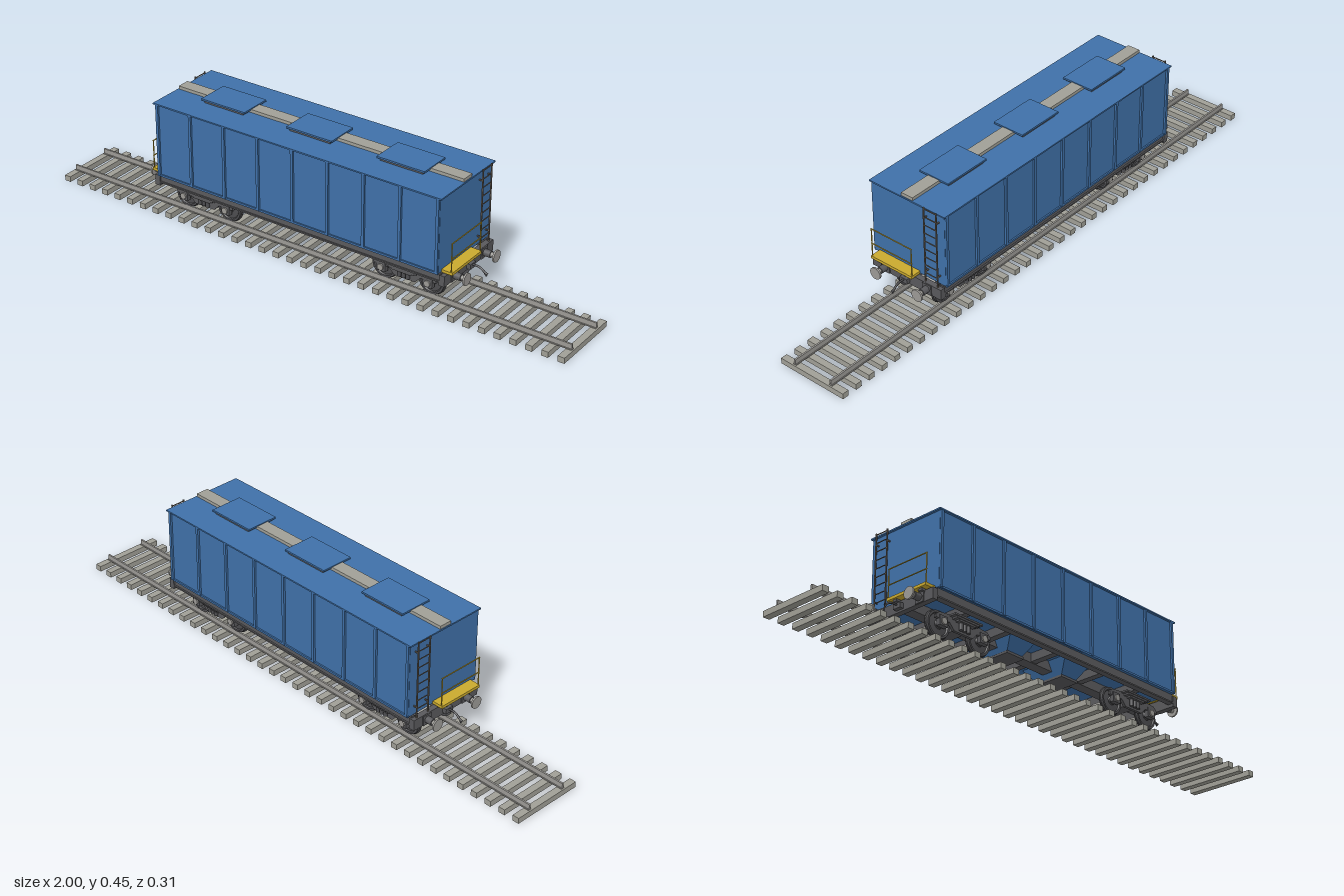
import * as THREE from 'three';

const mat = (name, color) => {
  const m = new THREE.MeshStandardMaterial({ color });
  m.name = name;
  return m;
};

export function createModel() {
  const blue = mat('body blue', 0x3f70a8);
  const dark = mat('frame grey', 0x59595c);
  const steel = mat('bright steel', 0x9c9a96);
  const concrete = mat('sleeper grey', 0xa09f96);
  const yellow = mat('safety yellow', 0xc9a92e);
  const iron = mat('ladder iron', 0x6b6258);
  const wheelGrey = mat('wheel grey', 0x4e4e51);

  const root = new THREE.Group();
  root.name = 'hopperWagonOnTrack';
  const group = (name, parent = root) => {
    const g = new THREE.Group();
    g.name = name;
    parent.add(g);
    return g;
  };
  const add = (parent, name, geo, m, x = 0, y = 0, z = 0) => {
    const mesh = new THREE.Mesh(geo, m);
    mesh.name = name;
    mesh.position.set(x, y, z);
    parent.add(mesh);
    return mesh;
  };
  // Box given by its limits on each axis
  const box = (parent, name, m, x0, x1, y0, y1, z0, z1) =>
    add(parent, name, new THREE.BoxGeometry(x1 - x0, y1 - y0, z1 - z0), m,
      (x0 + x1) / 2, (y0 + y1) / 2, (z0 + z1) / 2);
  // Cylinder lying along x or z
  const rod = (parent, name, m, r, len, axis, x, y, z, sides = 20) => {
    const geo = new THREE.CylinderGeometry(r, r, len, sides);
    if (axis === 'x') geo.rotateZ(-Math.PI / 2);
    if (axis === 'z') geo.rotateX(Math.PI / 2);
    return add(parent, name, geo, m, x, y, z);
  };

  // Track
  const track = group('track');
  const sleepers = 36;
  for (let i = 0; i < sleepers; i++) {
    const x = -0.988 + (1.976 * i) / (sleepers - 1);
    box(track, 'sleeper', concrete, x - 0.012, x + 0.012, 0, 0.02, -0.13, 0.13);
  }
  for (const s of [-1, 1]) {
    const z = s * 0.075;
    box(track, 'railFoot', steel, -0.995, 0.995, 0.02, 0.023, z - 0.006, z + 0.006);
    box(track, 'rail', steel, -0.995, 0.995, 0.022, 0.04, z - 0.003, z + 0.003);
  }

  // Body shell with ribs and roof
  const body = group('body');
  box(body, 'shell', blue, -0.555, 0.555, 0.168, 0.431, -0.147, 0.147);
  box(body, 'roof', blue, -0.563, 0.563, 0.43, 0.435, -0.155, 0.155);
  for (const s of [-1, 1]) {
    for (let i = 0; i <= 8; i++) {
      const x = -0.549 + (1.098 * i) / 8;
      box(body, 'sideRib', blue, x - 0.005, x + 0.005, 0.168, 0.431, s * 0.15 - 0.004, s * 0.15 + 0.004);
    }
    box(body, 'bottomRail', blue, -0.555, 0.555, 0.166, 0.173, s * 0.149 - 0.003, s * 0.149 + 0.003);
  }

  // Roof walkway and loading hatches
  box(body, 'walkway', concrete, -0.56, 0.56, 0.435, 0.446, -0.023, 0.023);
  for (const x of [-0.347, 0, 0.35]) {
    box(body, 'hatchCurb', dark, x - 0.08, x + 0.08, 0.435, 0.443, -0.054, 0.054);
    box(body, 'hatchLid', blue, x - 0.089, x + 0.089, 0.443, 0.449, -0.059, 0.059);
  }

  // Underframe
  const frame = group('underframe');
  for (const s of [-1, 1]) {
    const z = s * 0.132;
    box(frame, 'sideSill', dark, -0.56, 0.56, 0.138, 0.168, z - 0.006, z + 0.006);
    box(frame, 'sillFlange', dark, -0.56, 0.56, 0.135, 0.14, z - 0.011, z + 0.011);
  }
  box(frame, 'centreSill', dark, -0.56, 0.56, 0.135, 0.168, -0.02, 0.02);
  for (const x of [-0.4, -0.22, 0, 0.22, 0.4])
    box(frame, 'crossBeam', dark, x - 0.012, x + 0.012, 0.138, 0.168, -0.13, 0.13);

  // Discharge hoppers, tapering downwards
  for (const x of [-0.125, 0.13]) {
    const geo = new THREE.CylinderGeometry(Math.SQRT1_2, Math.SQRT1_2 * 0.55, 0.053, 4, 1);
    geo.rotateY(Math.PI / 4).scale(0.12, 1, 0.19);
    const hopper = new THREE.Mesh(geo.toNonIndexed(), blue);
    hopper.geometry.computeVertexNormals();
    hopper.name = 'hopper';
    hopper.position.set(x, 0.142, 0);
    frame.add(hopper);
    box(frame, 'outletGate', dark, x - 0.038, x + 0.038, 0.109, 0.117, -0.058, 0.058);
  }

  // Wheel turned about its axle: tread, inner flange, dished disc
  const wheelProfile = [[0, -0.005], [0.014, -0.008], [0.016, -0.004], [0.036, -0.003], [0.039, -0.007],
    [0.05, -0.007], [0.05, -0.004], [0.047, -0.002], [0.046, 0.006], [0.039, 0.006],
    [0.036, 0.002], [0.016, 0.004], [0.014, 0.009], [0, 0.009]].map(p => new THREE.Vector2(...p));
  const wheelGeo = new THREE.LatheGeometry(wheelProfile, 32).rotateX(Math.PI / 2).toNonIndexed();
  wheelGeo.computeVertexNormals();

  // Bogie side frame: arched plate hanging between the axle boxes
  const plate = new THREE.Shape([[-0.118, 0.105], [-0.105, 0.118], [-0.06, 0.122], [0.06, 0.122],
    [0.105, 0.118], [0.118, 0.105], [0.118, 0.096], [0.06, 0.096], [0.04, 0.075],
    [-0.04, 0.075], [-0.06, 0.096], [-0.118, 0.096]].map(p => new THREE.Vector2(...p)));
  const plateGeo = new THREE.ExtrudeGeometry(plate, { depth: 0.01, bevelEnabled: false });

  for (const cx of [-0.4, 0.4]) {
    const bogie = group('bogie');
    bogie.position.x = cx;
    box(bogie, 'bolster', dark, -0.022, 0.022, 0.088, 0.124, -0.1, 0.1);
    rod(bogie, 'centrePivot', dark, 0.025, 0.02, 'y', 0, 0.13, 0);
    for (const ax of [-0.088, 0.088]) {
      rod(bogie, 'axle', steel, 0.009, 0.2, 'z', ax, 0.087, 0);
      for (const s of [-1, 1]) {
        const wheel = add(bogie, 'wheel', wheelGeo, wheelGrey, ax, 0.087, s * 0.075);
        if (s < 0) wheel.rotation.y = Math.PI;
        box(bogie, 'axleBox', dark, ax - 0.017, ax + 0.017, 0.074, 0.108, s * 0.095 - 0.008, s * 0.095 + 0.008);
        rod(bogie, 'axleCap', steel, 0.011, 0.006, 'z', ax, 0.089, s * 0.105);
      }
    }
    for (const s of [-1, 1]) {
      add(bogie, 'sideFrame', plateGeo, dark, 0, 0, s * 0.095 - 0.005);
      for (const sx of [-0.016, 0, 0.016])
        rod(bogie, 'spring', wheelGrey, 0.007, 0.026, 'y', sx, 0.095, s * 0.105, 12);
      // Stepped side bearer
      for (let i = 0; i < 3; i++)
        box(bogie, 'bearerLeaf', dark, -0.06 + i * 0.012, 0.06 - i * 0.012, 0.117 - i * 0.006,
          0.123 - i * 0.006, s * 0.11 - 0.014 + i * 0.003, s * 0.11 + 0.014 - i * 0.003);
    }
  }

  // Both wagon ends
  for (const e of [-1, 1]) {
    const end = group(e > 0 ? 'leftEnd' : 'rightEnd');
    const bx = (name, m, x0, x1, ...r) => box(end, name, m, Math.min(e * x0, e * x1), Math.max(e * x0, e * x1), ...r);
    bx('bufferBeam', dark, 0.555, 0.575, 0.124, 0.162, -0.143, 0.143);
    bx('endPlatform', yellow, 0.555, 0.595, 0.166, 0.176, -0.04, 0.13);
    for (const z of [0.1, -0.01]) bx('platformBracket', dark, 0.556, 0.588, 0.158, 0.166, z - 0.008, z + 0.008);

    // Buffers
    for (const s of [-1, 1]) {
      const z = s * 0.087;
      bx('bufferPlate', dark, 0.575, 0.579, 0.125, 0.161, z - 0.018, z + 0.018);
      rod(end, 'bufferSleeve', dark, 0.012, 0.026, 'x', e * 0.59, 0.143, z);
      rod(end, 'bufferStem', steel, 0.008, 0.02, 'x', e * 0.61, 0.143, z);
      rod(end, 'bufferHead', steel, 0.021, 0.006, 'x', e * 0.621, 0.143, z, 28);
    }

    // Draw gear: housing, hook and hanging link
    bx('drawHousing', dark, 0.575, 0.59, 0.131, 0.149, -0.015, 0.015);
    const hook = new THREE.CatmullRomCurve3([[0.585, 0.143], [0.608, 0.143], [0.622, 0.138], [0.634, 0.129], [0.645, 0.126]]
      .map(([x, y]) => new THREE.Vector3(e * x, y, 0)));
    add(end, 'drawHook', new THREE.TubeGeometry(hook, 14, 0.0035, 8), wheelGrey);
    const link = new THREE.CatmullRomCurve3([[0.622, 0.139], [0.632, 0.128], [0.64, 0.118]]
      .map(([x, y]) => new THREE.Vector3(e * x, y, 0)));
    add(end, 'couplingLink', new THREE.TubeGeometry(link, 8, 0.0025, 8), wheelGrey);

    // Handrail
    for (const z of [-0.038, 0.128]) rod(end, 'handrailPost', yellow, 0.002, 0.11, 'y', e * 0.59, 0.222, z, 8);
    for (const y of [0.222, 0.277]) rod(end, 'handrail', yellow, 0.002, 0.17, 'z', e * 0.59, y, 0.045, 8);

    // Ladder
    for (const z of [-0.075, -0.125]) bx('ladderStile', iron, 0.566, 0.57, 0.162, 0.44, z - 0.002, z + 0.002);
    for (let i = 0; i < 9; i++) rod(end, 'ladderRung', iron, 0.0018, 0.05, 'z', e * 0.568, 0.195 + i * 0.03, -0.1, 8);
    for (const y of [0.2, 0.4]) for (const z of [-0.075, -0.125])
      bx('ladderBracket', iron, 0.554, 0.567, y - 0.002, y + 0.002, z - 0.002, z + 0.002);
  }
  return root;
}
